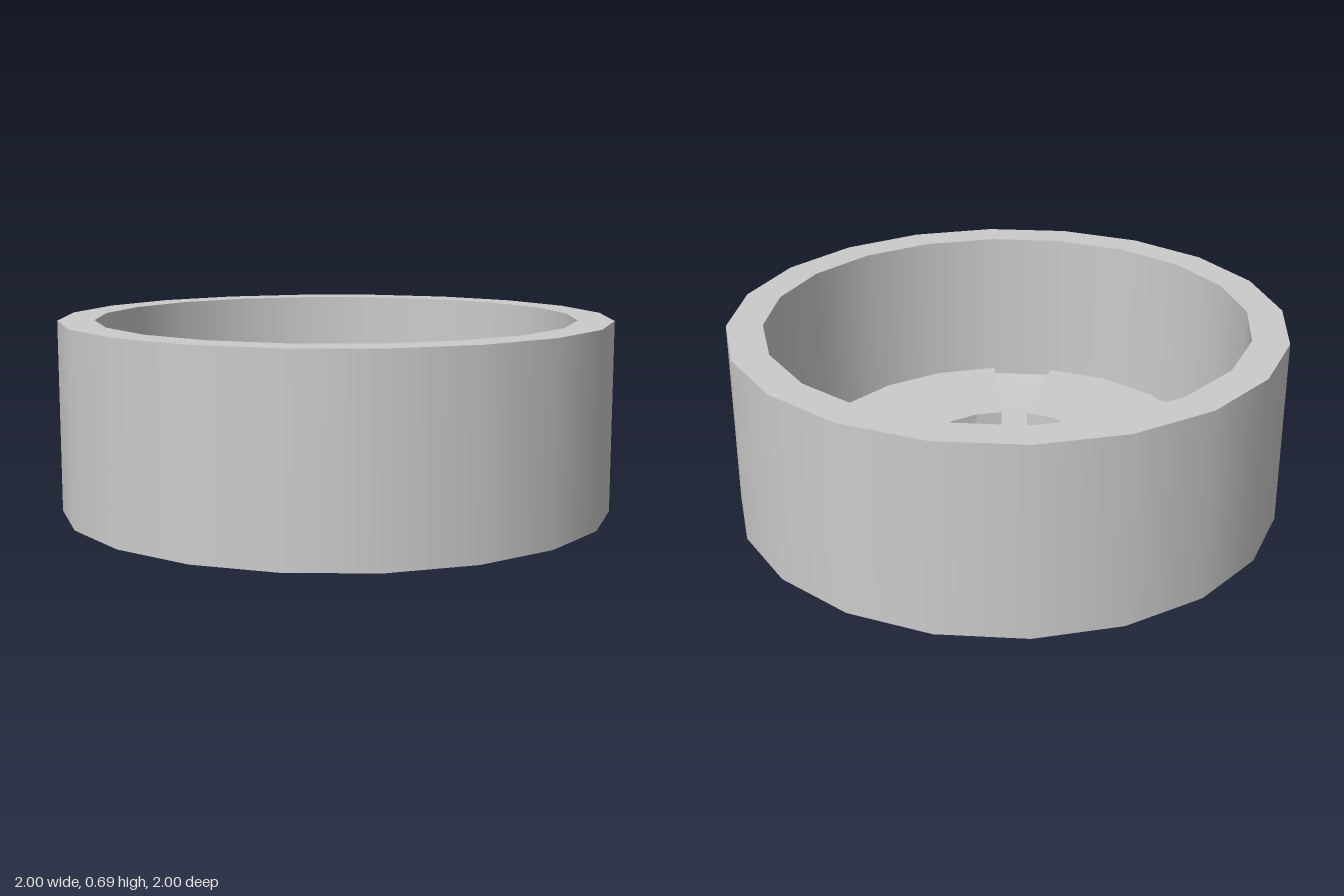
import * as THREE from 'three';

const SIDES = 20;
const STEP = (Math.PI * 2) / SIDES;

export function createModel() {
  const group = new THREE.Group();
  const material = new THREE.MeshStandardMaterial({ color: 0xcccccc });

  const add = (name, geometry) => {
    const mesh = new THREE.Mesh(geometry, material);
    mesh.name = name;
    group.add(mesh);
    return mesh;
  };
  // One smooth band per profile, so the edges between bands stay sharp
  const band = (name, points, sides = SIDES) =>
    add(name, new THREE.LatheGeometry(points.map(([r, y]) => new THREE.Vector2(r, y)), sides));

  // Round cup
  band('base', [[0, 0], [1, 0]]);
  band('outerWall', [[1, 0], [1, 0.69]]);
  band('rim', [[1, 0.69], [0.87, 0.69]]);
  band('innerWall', [[0.87, 0.69], [0.87, 0.085]]);

  // Slightly dished floor around the hub
  band('floor', [[0.87, 0.085], [0.76, 0.075], [0.33, 0.075], [0.17, 0.085]]);

  // Central hub
  band('hubWall', [[0.17, 0.08], [0.17, 0.16]], 40);
  band('hubTop', [[0.17, 0.16], [0, 0.16]], 40);

  // Four raised pads, each spanning four sides of the cup
  const outline = [];
  for (let i = -2; i <= 2; i++) outline.push([0.755, i]);
  for (let i = 2; i >= -2; i--) outline.push([0.325, i]);
  const shape = new THREE.Shape(
    outline.map(([r, i]) => new THREE.Vector2(r * Math.cos(i * STEP), r * Math.sin(i * STEP)))
  );
  const padGeometry = new THREE.ExtrudeGeometry(shape, { depth: 0.1, bevelEnabled: false });
  padGeometry.rotateX(-Math.PI / 2);
  for (let k = 0; k < 4; k++) {
    const pad = add('floorPad', padGeometry);
    pad.position.y = 0.06;
    pad.rotation.y = (k * Math.PI) / 2;
  }

  return group;
}
